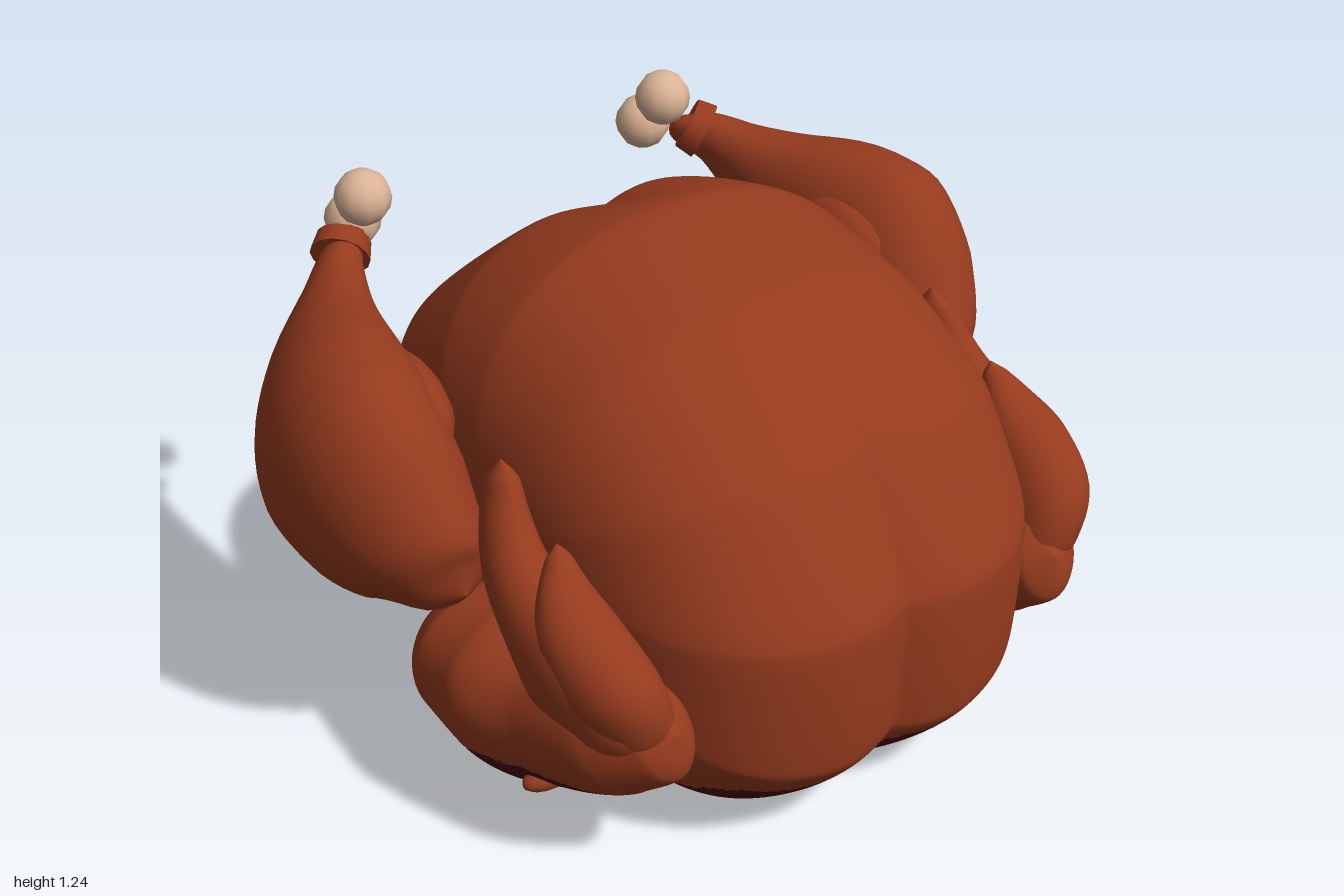
import * as THREE from 'three';

const mat = (name, color) => {
  const m = new THREE.MeshStandardMaterial({ color });
  m.name = name;
  return m;
};

// Skin over closed rings; triangles under the line(z) height use the second material group
function skin(rings, line) {
  const n = rings[0].length, pos = [], upper = [], under = [];
  rings.forEach(r => r.forEach(p => pos.push(p.x, p.y, p.z)));
  const at = k => rings[Math.floor(k / n)][k % n];
  const tri = (a, b, c) => {
    const y = (at(a).y + at(b).y + at(c).y) / 3, z = (at(a).z + at(b).z + at(c).z) / 3;
    (line && y < line(z, at(a).x) ? under : upper).push(a, b, c);
  };
  for (let i = 0; i < rings.length - 1; i++) {
    for (let j = 0; j < n; j++) {
      const a = i * n + j, b = i * n + (j + 1) % n;
      tri(a, b, b + n);
      tri(a, b + n, a + n);
    }
  }
  const g = new THREE.BufferGeometry();
  g.setAttribute('position', new THREE.Float32BufferAttribute(pos, 3));
  g.setIndex([...upper, ...under]);
  g.addGroup(0, upper.length, 0);
  g.addGroup(upper.length, under.length, 1);
  g.computeVertexNormals();
  return g;
}

// Limb along stations [x, y, z, half width in x, half width in the side plane]; tilt lifts its outer edge
function limb(stations, side, { line, tilt = 0, steps = 40, sides = 32 } = {}) {
  const path = new THREE.CatmullRomCurve3(stations.map(s => new THREE.Vector3(s[0] * side, s[1], s[2])));
  const size = new THREE.CatmullRomCurve3(stations.map(s => new THREE.Vector3(s[3], s[4], 0)));
  const rings = [];
  for (let i = 0; i <= steps; i++) {
    const p = path.getPoint(i / steps), s = size.getPoint(i / steps), t = path.getTangent(i / steps);
    const len = Math.hypot(t.y, t.z), ring = [];
    const rx = Math.max(0, s.x), rn = Math.max(0, s.y);
    for (let j = 0; j < sides; j++) {
      const a = j / sides * Math.PI * 2, c = Math.cos(a) * rx, d = Math.sin(a) * rn;
      ring.push(new THREE.Vector3(p.x + c, p.y + d * t.z / len + tilt * c * side, p.z - d * t.y / len));
    }
    rings.push(ring);
  }
  return skin(rings, line);
}

// Body: the side outline, scaled down toward both flanks, with a cleft in the middle
function body() {
  const outline = new THREE.CatmullRomCurve3([
    [-0.08, 1.26], [0.3, 1.19], [0.66, 0.97], [0.86, 0.62], [0.84, 0.24], [0.66, 0.06], [0.2, 0.03],
    [-0.39, 0.07], [-0.65, 0.235], [-0.77, 0.6], [-0.66, 0.91], [-0.36, 1.17],
  ].map(([z, y]) => new THREE.Vector3(0, y, z)), true, 'catmullrom', 0.2);
  const cy = 0.68, cz = 0.04, half = 0.62, steps = 110, rings = [];
  const profile = outline.getPoints(192).slice(0, 192);
  const round = (q, p) => Math.pow(Math.max(0, 1 - Math.pow(Math.abs(q), p)), 1 / p);
  for (let i = 0; i <= steps; i++) {
    const q = Math.sin((i / steps - 0.5) * Math.PI), x = q * half;
    const dip = Math.pow(Math.max(0, 1 - Math.abs(x) / 0.21), 2);
    rings.push(profile.map(p => {
      const dy = p.y - cy, dz = p.z - cz;
      const depth = dz < 0 ? 0.09 * Math.min(1, Math.max(0, (-dz - 0.2) / 0.35)) : 0.05 * Math.max(0, dz / 0.8 - 0.4) / 0.6;
      const k = 1 - depth * dip;
      return new THREE.Vector3(x, cy + dy * k * round(q, dy > 0 ? 2.35 : 3), cz + dz * k * round(q, 2.9));
    }));
  }
  return skin(rings, (z, x) => 0.18 + 0.24 * (1 - THREE.MathUtils.smoothstep(z, -0.15, 0.55)) + 0.012 * Math.sin(z * 17 + x * 11));
}

const drumstick = [
  [0.72, 0.55, 0.11, 0, 0], [0.73, 0.57, 0.065, 0.1, 0.12], [0.765, 0.62, -0.005, 0.155, 0.2],
  [0.785, 0.69, -0.12, 0.195, 0.29], [0.79, 0.78, -0.27, 0.21, 0.335], [0.765, 0.86, -0.396, 0.19, 0.28],
  [0.7, 0.94, -0.52, 0.14, 0.175], [0.6, 1.022, -0.626, 0.08, 0.085], [0.53, 1.065, -0.69, 0.06, 0.06],
  [0.49, 1.09, -0.72, 0, 0],
];
// Wide shoulder piece that spreads under the body
const upperWing = [
  [0.57, 0.46, 0.73, 0, 0], [0.58, 0.44, 0.69, 0.08, 0.11], [0.605, 0.405, 0.58, 0.15, 0.16],
  [0.59, 0.33, 0.4, 0.215, 0.19], [0.52, 0.28, 0.2, 0.335, 0.25], [0.52, 0.28, 0.05, 0.32, 0.235],
  [0.54, 0.285, -0.05, 0.23, 0.16], [0.56, 0.285, -0.1, 0, 0],
];
const foreWing = [
  [0.62, 0.33, 0.62, 0, 0], [0.635, 0.42, 0.59, 0.1, 0.13], [0.67, 0.54, 0.5, 0.115, 0.16],
  [0.68, 0.62, 0.36, 0.095, 0.11], [0.675, 0.7, 0.25, 0.075, 0.09], [0.66, 0.8, 0.19, 0.055, 0.07],
  [0.645, 0.88, 0.165, 0.035, 0.05], [0.64, 0.925, 0.155, 0, 0],
];
// Broad front lobe of the wing, ending in a small point
const wingThumb = [
  [0.6, 0.36, 0.66, 0, 0], [0.61, 0.42, 0.635, 0.085, 0.09], [0.65, 0.53, 0.58, 0.11, 0.14],
  [0.67, 0.64, 0.49, 0.1, 0.105], [0.665, 0.725, 0.425, 0.065, 0.055], [0.65, 0.79, 0.388, 0.03, 0.028],
  [0.645, 0.82, 0.378, 0, 0],
];

export function createModel() {
  const roast = mat('roastedSkin', 0x963b1e);
  const dark = mat('darkGlaze', 0x48080a);
  const bone = mat('bone', 0xdcb496);
  const model = new THREE.Group();
  model.name = 'roastChicken';
  const add = (parent, name, geometry, material) => {
    const m = new THREE.Mesh(geometry, material);
    m.name = name;
    parent.add(m);
    return m;
  };
  add(model, 'body', body(), [roast, dark]);

  // Glaze edge on the wings rises toward the shoulder
  const wingLine = z => 0.235 + 0.03 * Math.sin(z * 8 - 2) + 0.19 * (1 - THREE.MathUtils.smoothstep(z, -0.08, 0.08));

  for (const [label, s] of [['left', 1], ['right', -1]]) {
    const leg = new THREE.Group();
    leg.name = label + 'Leg';
    add(leg, 'drumstick', limb(drumstick, s), roast);
    const hip = add(leg, 'hip', new THREE.SphereGeometry(1, 16, 12), roast);
    hip.scale.set(0.1, 0.14, 0.2);
    hip.position.set(0.67 * s, 0.88, -0.24);
    // Skin cuff where the bone comes out
    const cuff = add(leg, 'cuff', new THREE.CylinderGeometry(0.068, 0.075, 0.05, 14), roast);
    cuff.position.set(0.54 * s, 1.06, -0.68);
    cuff.quaternion.setFromUnitVectors(new THREE.Vector3(0, 1, 0), new THREE.Vector3(-0.1 * s, 0.07, -0.1).normalize());
    // Knuckles of the bone
    for (const [x, y, z] of [[0.455, 1.16, -0.71], [0.445, 1.065, -0.785]]) {
      add(leg, 'boneKnuckle', new THREE.SphereGeometry(0.072, 10, 8), bone).position.set(x * s, y, z);
    }
    model.add(leg);

    const wing = new THREE.Group();
    wing.name = label + 'Wing';
    add(wing, 'upperWing', limb(upperWing, s, { line: wingLine, tilt: 0.2, steps: 90, sides: 72 }), [roast, dark]);
    add(wing, 'foreWing', limb(foreWing, s), roast);
    add(wing, 'wingThumb', limb(wingThumb, s), roast);
    // Pale spot in the fold under the elbow
    const fold = add(wing, 'elbowFold', new THREE.SphereGeometry(1, 12, 8), roast);
    fold.scale.set(0.08, 0.035, 0.035);
    fold.position.set(0.7 * s, 0.21, 0.41);
    model.add(wing);
  }
  return model;
}
